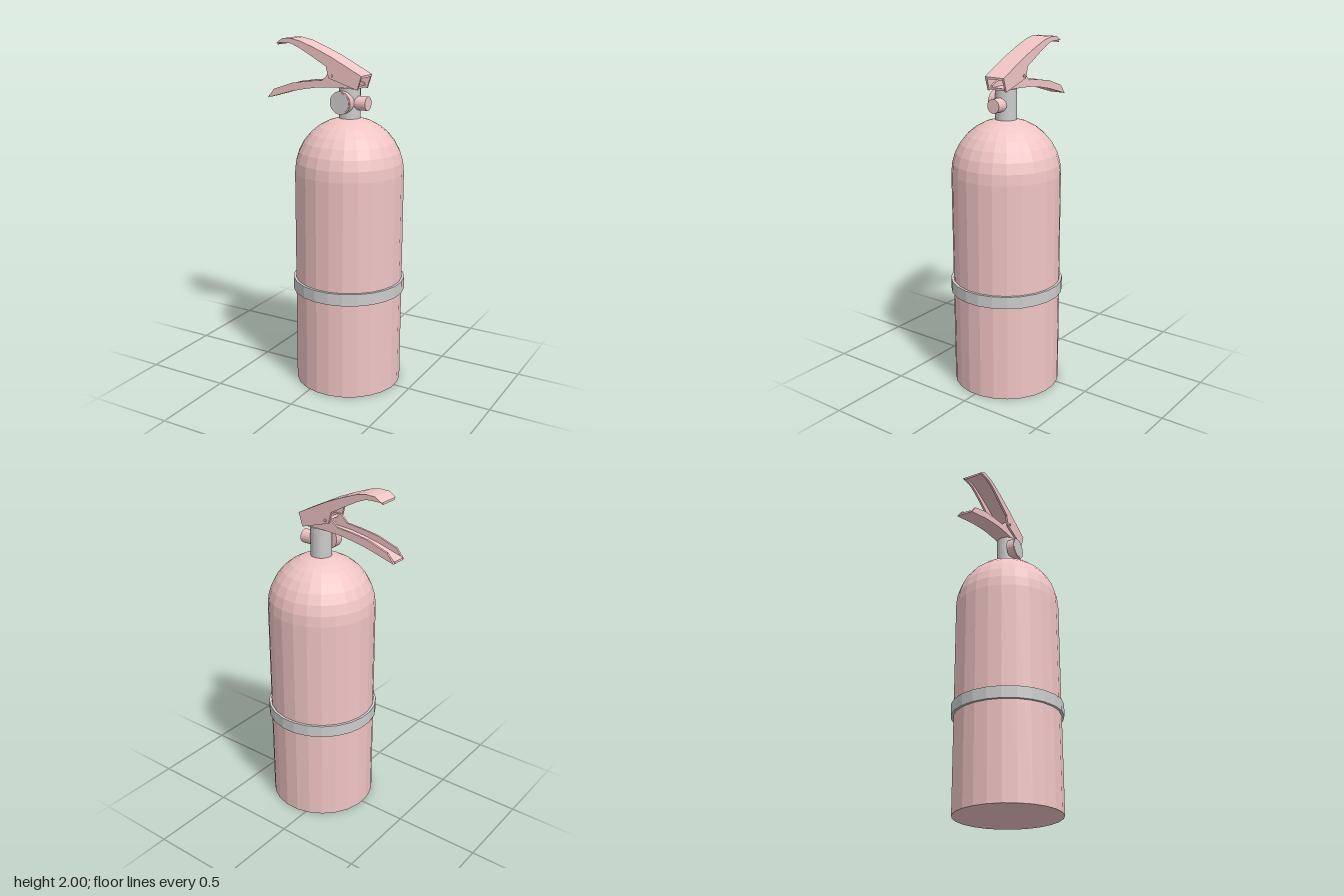
import * as THREE from 'three';

const pink = new THREE.MeshStandardMaterial({ color: 0xf0c4c4, flatShading: true });
const grey = new THREE.MeshStandardMaterial({ color: 0xcccccc, flatShading: true });
const AXIS = 0.095; // x of the tank's centre line
const SIDES = 24;

function add(parent, name, geometry, material, x = 0, y = 0, z = 0) {
  const mesh = new THREE.Mesh(geometry, material);
  mesh.name = name;
  mesh.position.set(x, y, z);
  parent.add(mesh);
  return mesh;
}

// Revolved profile with a flat facing each axis
function lathe(points) {
  const profile = points.map(([r, y]) => new THREE.Vector2(r, y));
  return new THREE.LatheGeometry(profile, SIDES, Math.PI / SIDES);
}

// Side outline extruded from z0 to z1
function slab(outline, z0, z1) {
  const shape = new THREE.Shape(outline.map(([x, y]) => new THREE.Vector2(x, y)));
  return new THREE.ExtrudeGeometry(shape, { depth: z1 - z0, bevelEnabled: false }).translate(0, 0, z0);
}

// Folded sheet lever: two cheeks joined by a web along one edge
function lever(name, cheek, edge, half, wall, webOffset) {
  const group = new THREE.Group();
  group.name = name;
  add(group, name + 'CheekLeft', slab(cheek, half - wall, half), pink);
  add(group, name + 'CheekRight', slab(cheek, -half, wall - half), pink);
  const inner = edge.map(([x, y]) => [x, y + webOffset]).reverse();
  add(group, name + 'Web', slab([...edge, ...inner], wall - half, half - wall), pink);
  return group;
}

export function createModel() {
  const model = new THREE.Group();
  model.name = 'fireExtinguisher';

  // Tank with hemispherical shoulder
  const R = 0.31, shoulder = 1.27;
  const profile = [[0, 0], [R, 0]];
  for (let i = 0; i <= 8; i++) {
    const a = (i / 8) * Math.PI / 2;
    profile.push([i === 8 ? 0 : R * Math.cos(a), shoulder + R * Math.sin(a)]);
  }
  add(model, 'tank', lathe(profile), pink, AXIS);

  // Strap around the tank
  add(model, 'strap', lathe([[0.305, 0.57], [0.325, 0.57], [0.325, 0.64], [0.305, 0.64], [0.305, 0.57]]), grey, AXIS);

  // Valve neck
  add(model, 'valveNeck', new THREE.CylinderGeometry(0.061, 0.061, 0.19, SIDES), grey, AXIS, 1.65);

  // Pressure gauge on the front
  const gauge = new THREE.Group();
  gauge.name = 'pressureGauge';
  gauge.position.set(0.081, 1.665, 0);
  gauge.rotation.x = Math.PI / 2;
  add(gauge, 'gaugeCase', new THREE.CylinderGeometry(0.064, 0.064, 0.048, SIDES), pink, 0, 0.063);
  add(gauge, 'gaugeFace', new THREE.CylinderGeometry(0.057, 0.057, 0.004, SIDES), grey, 0, 0.087);
  model.add(gauge);

  // Outlet at the side
  const outlet = add(model, 'outlet', new THREE.CylinderGeometry(0.04, 0.04, 0.09, 20), pink, 0.166, 1.66);
  outlet.rotation.z = -Math.PI / 2;

  // Squeeze lever, open underneath
  const upperEdge = [[-0.345, 1.973], [-0.305, 1.998], [-0.25, 2], [-0.185, 1.987], [-0.09, 1.952], [0.01, 1.91], [0.2, 1.815]];
  const upperCheek = [...upperEdge, [0.175, 1.738], [-0.005, 1.793], [-0.022, 1.857], [-0.14, 1.922], [-0.2, 1.953], [-0.25, 1.972], [-0.3, 1.974]];
  model.add(lever('squeezeLever', upperCheek, upperEdge, 0.064, 0.012, -0.012));

  // Carrying handle, open on top
  const lowerEdge = [[-0.42, 1.655], [-0.255, 1.703], [-0.165, 1.722], [-0.085, 1.735], [0.03, 1.743], [0.165, 1.741]];
  const lowerCheek = [...lowerEdge, [0.165, 1.765], [0.03, 1.82], [-0.01, 1.82], [-0.055, 1.777], [-0.15, 1.767], [-0.255, 1.75], [-0.378, 1.708]];
  model.add(lever('carryHandle', lowerCheek, lowerEdge, 0.05, 0.012, 0.012));

  // Hinge pin through both levers
  const pin = add(model, 'hingePin', new THREE.CylinderGeometry(0.008, 0.008, 0.14, 12), pink, 0.015, 1.807);
  pin.rotation.x = Math.PI / 2;

  return model;
}
